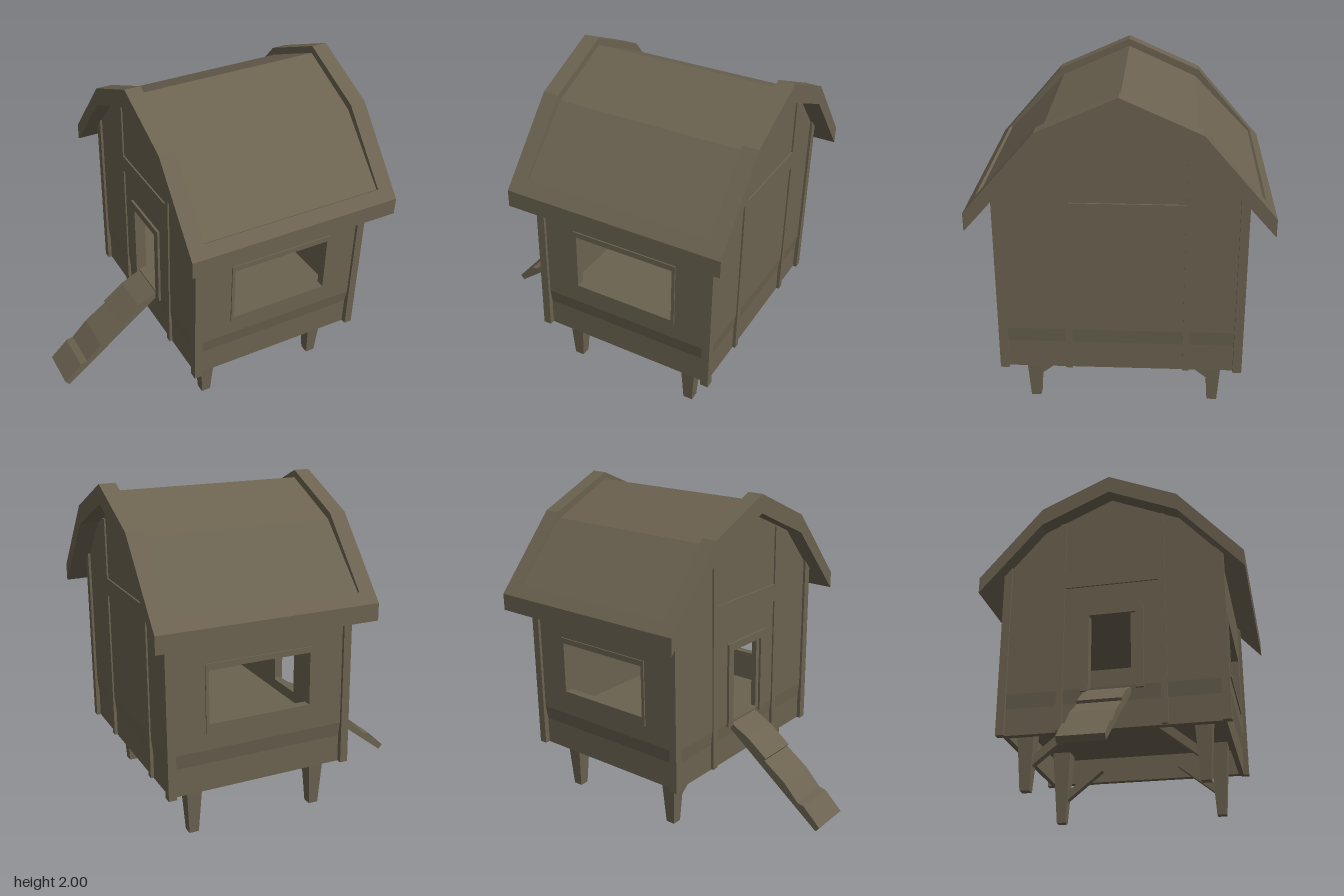
import * as THREE from 'three';

const wood = new THREE.MeshStandardMaterial({ color: 0x6b6250 });
wood.name = 'weathered wood';

const toShape = (pts) => new THREE.Shape(pts.map(([a, b]) => new THREE.Vector2(a, b)));
const rectHole = (a0, a1, y0, y1) =>
  new THREE.Path([[a0, y0], [a0, y1], [a1, y1], [a1, y0]].map(([a, b]) => new THREE.Vector2(a, b)));

export function createModel() {
  const group = new THREE.Group();

  const add = (name, geo) => {
    const mesh = new THREE.Mesh(geo, wood);
    mesh.name = name;
    group.add(mesh);
  };
  // Box given by its limits
  const box = (name, x0, x1, y0, y1, z0, z1) =>
    add(name, new THREE.BoxGeometry(x1 - x0, y1 - y0, z1 - z0)
      .translate((x0 + x1) / 2, (y0 + y1) / 2, (z0 + z1) / 2));
  // (x, y) outline extruded along z
  const alongZ = (name, pts, z0, z1, hole) => {
    const s = toShape(pts);
    if (hole) s.holes.push(hole);
    add(name, new THREE.ExtrudeGeometry(s, { depth: z1 - z0, bevelEnabled: false }).translate(0, 0, z0));
  };
  // (z, y) outline extruded along x
  const alongX = (name, pts, x0, x1, hole) => {
    const s = toShape(pts.map(([z, y]) => [-z, y]));
    if (hole) s.holes.push(hole);
    const geo = new THREE.ExtrudeGeometry(s, { depth: x1 - x0, bevelEnabled: false });
    add(name, geo.rotateY(Math.PI / 2).translate(x0, 0, 0));
  };
  // Mirror image of a half outline across z = 0, in reverse order
  const flip = (pts) => pts.filter(([z]) => z > 0).map(([z, y]) => [-z, y]).reverse();

  // Gambrel roof: raised end frames and a sunken middle panel
  const under = [[0.84, 1.24], [0.44, 1.69], [0, 1.885]];
  const roofOutline = (top) => [...flip(top), ...top, ...under, ...flip(under)];
  const frameLine = roofOutline([[0, 2], [0.44, 1.805], [0.84, 1.345]]);
  const panelLine = roofOutline([[0, 1.955], [0.42, 1.765], [0.772, 1.4], [0.785, 1.408], [0.84, 1.345]]);
  alongX('roofEndFrameRight', frameLine, -0.4, -0.3);
  alongX('roofPanel', panelLine, -0.3, 0.86);
  alongX('roofEndFrameLeft', frameLine, 0.86, 0.96);

  // Gable walls, the one at -x with a doorway
  const half = [[0.67, 0.57], [0.67, 1.45], [0.44, 1.71], [0, 1.905]];
  const gable = [...half, ...flip(half)];
  alongX('leftGable', gable, 0.79, 0.845);
  alongX('rightGable', gable, -0.295, -0.24, rectHole(-0.12, 0.14, 0.57, 1.05));
  for (const [side, x, zs] of [['left', 0.845, [-0.38, 0.3]], ['right', -0.295, [-0.32, 0.32]]]) {
    const d = Math.sign(x);
    // Lower plank tucked in slightly below the wall
    alongZ(side + 'LowerPlank', [[x - d * 0.055, 0.31], [x - d * 0.01, 0.31], [x - d * 0.01, 0.48],
      [x, 0.57], [x - d * 0.055, 0.57]], -0.67, 0.67);
    const [x0, x1] = [x - d * 0.02, x + d * 0.01].sort((a, b) => a - b);
    for (const z of zs) box(side + 'GableBatten', x0, x1, 0.315, 1.74, z - 0.02, z + 0.02);
    box(side + 'GableBeam', x0, x1, 1.26, 1.37, zs[0], zs[1]);
  }

  // Door frame
  for (const z of [-0.165, 0.175]) box('doorFrameSide', -0.31, -0.24, 0.55, 1.1, z - 0.025, z + 0.025);
  box('doorFrameTop', -0.31, -0.24, 1.05, 1.1, -0.14, 0.15);

  // Window walls with frames, front and back
  for (const [side, d, sillTop] of [['front', 1, 0.7], ['back', -1, 0.73]]) {
    // Limits of a slab between two distances from the centre
    const span = (a, b) => (d > 0 ? [a, b] : [-b, -a]);
    alongZ(side + 'Wall', [[-0.29, 0.57], [0.84, 0.57], [0.84, 1.45], [-0.29, 1.45]], ...span(0.64, 0.688),
      rectHole(-0.05, 0.61, 0.68, 1.08));
    alongX(side + 'LowerPlank', [[d * 0.64, 0.31], [d * 0.673, 0.31], [d * 0.673, 0.48],
      [d * 0.688, 0.57], [d * 0.64, 0.57]], -0.28, 0.83);
    const frame = span(0.642, 0.696);
    box(side + 'WindowFrameRight', -0.06, -0.04, 0.67, 1.09, ...frame);
    box(side + 'WindowFrameLeft', 0.6, 0.62, 0.67, 1.09, ...frame);
    box(side + 'WindowFrameTop', -0.04, 0.6, 1.055, 1.09, ...frame);
    box(side + 'WindowSill', -0.04, 0.6, 0.67, sillTop, ...frame);
    for (const x of [-0.31, 0.81]) box(side + 'CornerPost', x, x + 0.05, 0.31, 1.45, ...span(0.655, 0.706));
  }

  // Floor and ceiling set inside the walls
  box('floor', -0.25, 0.8, 0.48, 0.5, -0.65, 0.65);
  box('ceiling', -0.25, 0.8, 1.16, 1.18, -0.65, 0.65);

  // Tapered square legs with slanting braces
  for (const x of [-0.15, 0.66]) {
    for (const d of [-1, 1]) {
      const z = d > 0 ? 0.53 : -0.55;
      const leg = new THREE.CylinderGeometry(0.085, 0.042, 0.48, 4, 1).rotateY(Math.PI / 4).toNonIndexed();
      leg.computeVertexNormals();
      add('leg', leg.translate(x, 0.24, z));
      alongX('legBrace', [[-0.03, 0.145], [-0.03, 0.205], [-0.2, 0.345], [-0.28, 0.345]]
        .map(([a, y]) => [z + d * a, y]), x - 0.025, x + 0.025);
    }
  }

  // Worn ramp leading to the doorway
  alongZ('ramp', [[-0.935, 0.015], [-0.28, 0.525], [-0.28, 0.565], [-0.42, 0.495], [-0.56, 0.39],
    [-0.55, 0.375], [-0.7, 0.27], [-0.8, 0.165], [-0.845, 0.155], [-0.96, 0.045]], -0.14, 0.12);

  return group;
}
